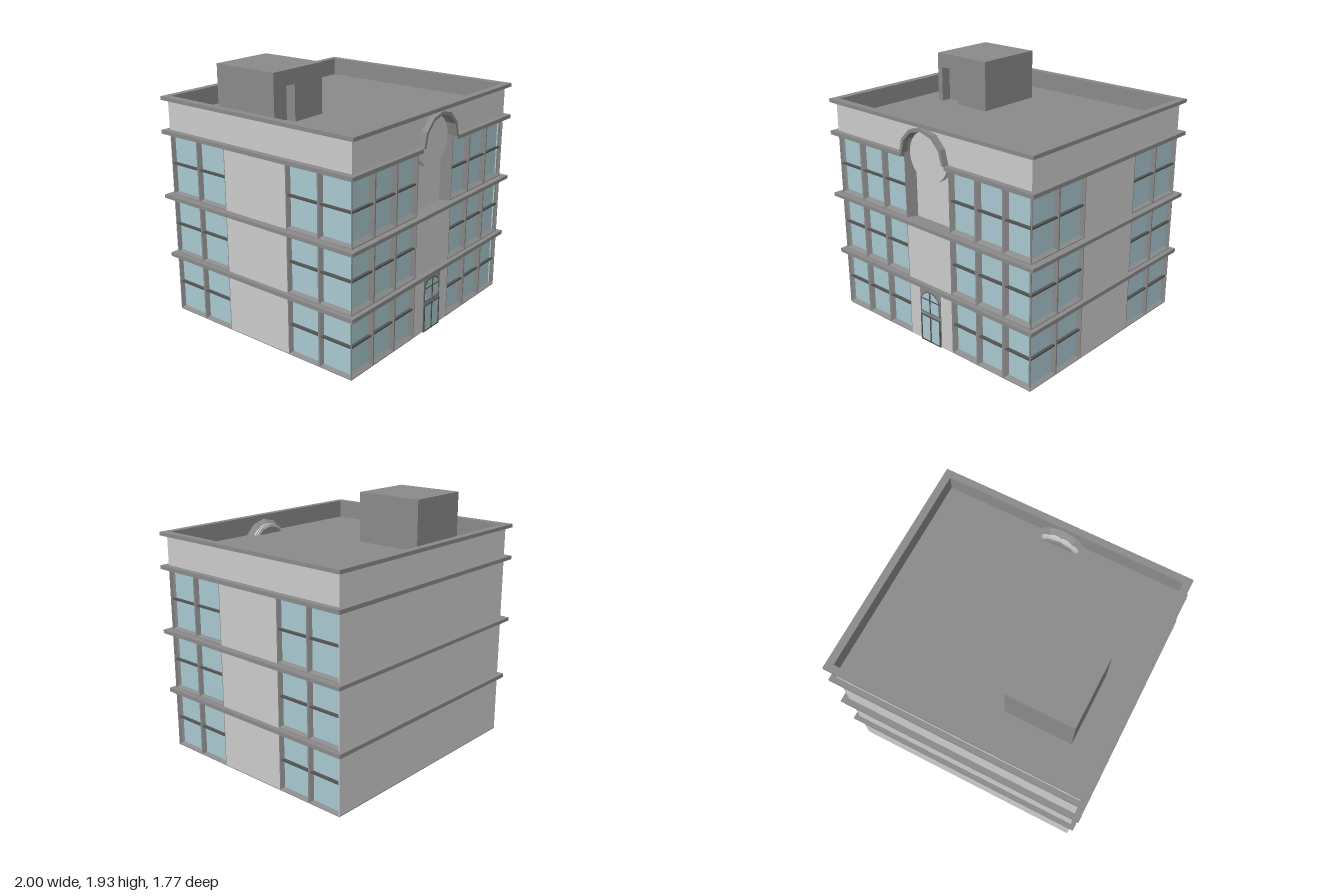
import * as THREE from 'three';

const mat = (color) => new THREE.MeshStandardMaterial({ color, flatShading: true, side: THREE.DoubleSide });
const wallMat = mat(0xcccccc), trimMat = mat(0x8a8a8a), glassMat = mat(0xa8c8cf), barMat = mat(0x555555);

function add(parent, name, geometry, material) {
  const mesh = new THREE.Mesh(geometry, material);
  mesh.name = name;
  parent.add(mesh);
  return mesh;
}

// box given by its minimum and maximum on each axis
function box(parent, name, x0, x1, y0, y1, z0, z1, material) {
  const g = new THREE.BoxGeometry(x1 - x0, y1 - y0, z1 - z0);
  g.translate((x0 + x1) / 2, (y0 + y1) / 2, (z0 + z1) / 2);
  return add(parent, name, g, material);
}

const rect = (x, z) => [[-x, -z], [x, -z], [x, z], [-x, z]];
const path = (pts) => pts.map(([x, y]) => new THREE.Vector2(x, y));

// horizontal slab from a floor plan of [x, z] points
function slab(parent, name, plan, hole, y0, y1, material) {
  const flip = (pts) => path(pts.map(([x, z]) => [x, -z]));
  const shape = new THREE.Shape(flip(plan));
  if (hole) shape.holes.push(new THREE.Path(flip(hole)));
  const g = new THREE.ExtrudeGeometry(shape, { depth: y1 - y0, bevelEnabled: false });
  g.rotateX(-Math.PI / 2).translate(0, y0, 0);
  return add(parent, name, g, material);
}

// upright plate from a front outline
function plate(parent, name, outline, z0, z1, material) {
  const g = new THREE.ExtrudeGeometry(new THREE.Shape(path(outline)), { depth: z1 - z0, bevelEnabled: false });
  return add(parent, name, g.translate(0, 0, z0), material);
}

// strip of quads joining loops of [x, y, z] points
function loft(loops) {
  const n = loops[0].length, index = [];
  for (let r = 0; r < loops.length - 1; r++)
    for (let i = 0; i < n - 1; i++) {
      const a = r * n + i, b = a + n;
      index.push(a, a + 1, b + 1, a, b + 1, b);
    }
  const g = new THREE.BufferGeometry();
  g.setAttribute('position', new THREE.Float32BufferAttribute(loops.flat(2), 3));
  g.setIndex(index);
  const flat = g.toNonIndexed();
  flat.computeVertexNormals();
  return flat;
}

// row of bevelled panes, centred on x, with its face on z = 0
function windowBay(w, y0, y1, panes, inset, topInset, barY) {
  const bay = new THREE.Group(), cell = w / panes, depth = 0.03;
  bay.name = 'windowBay';
  for (let i = 0; i < panes; i++) {
    const a = -w / 2 + i * cell, b = a + cell;
    const loop = (s, t, z) => [[a + s, y0 + s, z], [b - s, y0 + s, z], [b - s, y1 - t, z], [a + s, y1 - t, z], [a + s, y0 + s, z]];
    add(bay, 'windowFrame', loft([loop(0, 0, 0), loop(0.006, 0.006, 0), loop(inset, topInset, -depth)]), trimMat);
    const pane = new THREE.PlaneGeometry(cell - 2 * inset, y1 - y0 - inset - topInset);
    pane.translate((a + b) / 2, (y0 + inset + y1 - topInset) / 2, -depth);
    add(bay, 'windowGlass', pane, glassMat);
  }
  box(bay, 'transomBar', -w / 2 + 0.012, w / 2 - 0.012, barY - 0.007, barY + 0.007, -depth, -0.008, barMat);
  return bay;
}

// arched opening outline: straight legs and a six-sided half round
const archY = 1.44;
function arch(r, footY) {
  const pts = [[r, footY]];
  for (let i = 0; i <= 6; i++) pts.push([r * Math.cos(i * Math.PI / 6), archY + r * Math.sin(i * Math.PI / 6)]);
  pts.push([-r, footY]);
  return pts;
}

export function createModel() {
  const model = new THREE.Group();
  model.name = 'building';
  const X = 0.95, Z = 0.84, roofY = 1.55;

  // solid core, base and plain walls
  box(model, 'core', -0.9, 0.9, 0.01, 1.53, -0.8, 0.745, trimMat);
  box(model, 'base', -X, X, 0, 0.006, -Z, Z, trimMat);
  box(model, 'backWall', -X, X, 0, 1.68, -Z, -Z + 0.006, wallMat);
  box(model, 'frontCentreWall', -0.215, 0.215, 0, 0.93, 0.74, Z, wallMat);
  for (const s of [-1, 1]) box(model, 'sideWall', s < 0 ? -X : 0.89, s < 0 ? -0.89 : X, 0, 1.43, -0.283, 0.283, wallMat);

  // window bays on each floor
  const floors = [[0, 0.445, 0.235, 0.05], [0.475, 0.918, 0.71, 0.035], [0.945, 1.415, 1.185, 0.028]];
  for (const [y0, y1, barY, top] of floors)
    for (const s of [-1, 1]) {
      const front = windowBay(0.735, y0, y1, 3, 0.03, top, barY);
      front.position.set(s * 0.5825, 0, Z);
      model.add(front);
      for (const t of [-1, 1]) {
        const side = windowBay(0.557, y0, y1, 2, 0.02, 0.022, barY);
        side.rotation.y = s * Math.PI / 2;
        side.position.set(s * X, 0, t * 0.5615);
        model.add(side);
      }
    }

  // ledges; the top one breaks around the arched niche
  slab(model, 'lowerLedge', rect(0.985, 0.875), null, 0.445, 0.475, trimMat);
  slab(model, 'middleLedge', rect(1, 0.885), null, 0.918, 0.945, trimMat);
  slab(model, 'upperLedge', [[-0.995, -0.88], [0.995, -0.88], [0.995, 0.88], [0.215, 0.88], [0.215, 0.75],
    [-0.215, 0.75], [-0.215, 0.88], [-0.995, 0.88]], null, 1.413, 1.442, trimMat);

  // parapet, cornice and roof deck
  for (const s of [-1, 1]) {
    box(model, 'sideParapet', s < 0 ? -X : 0.935, s < 0 ? -0.935 : X, 1.43, 1.67, -Z, Z, wallMat);
    box(model, 'parapetLining', s < 0 ? -0.935 : 0.93, s < 0 ? -0.93 : 0.935, 1.5, 1.68, -0.83, 0.83, trimMat);
  }
  box(model, 'backParapetLining', -0.93, 0.93, 1.5, 1.68, -0.834, -0.825, trimMat);
  const notched = (w) => [[-w, 1.43], [-w, 1.67], [w, 1.67], [w, 1.43], ...arch(0.215, 1.43)];
  plate(model, 'frontParapet', notched(X), 0.828, Z, wallMat);
  plate(model, 'frontParapetLining', notched(0.935), 0.822, 0.828, trimMat);
  slab(model, 'cornice', rect(0.987, 0.877), rect(0.93, 0.823), 1.663, 1.69, trimMat);
  slab(model, 'roofDeck', [[-0.94, -0.83], [0.94, -0.83], [0.94, 0.83], [0.19, 0.83], [0.12, 0.745],
    [-0.12, 0.745], [-0.19, 0.83], [-0.94, 0.83]], null, roofY - 0.01, roofY, trimMat);

  // arched niche with tapered sides, round panel and raised frame
  const at = (r, z) => arch(r, 0.94).map(([x, y]) => [x, y, z]);
  add(model, 'nicheSides', loft([at(0.215, Z), at(0.18, 0.765)]), trimMat);
  plate(model, 'nicheBack', arch(0.181, 0.94), 0.755, 0.766, wallMat);
  const disc = new THREE.CylinderGeometry(0.185, 0.185, 0.05, 48);
  add(model, 'roundPanel', disc.rotateX(Math.PI / 2).translate(0, archY, 0.79), wallMat);
  plate(model, 'archFrame', [...arch(0.222, 1.44), ...arch(0.198, 1.44).reverse()], Z - 0.005, 0.885, trimMat);

  // back of the niche vault rising through the roof deck
  const vault = (r, z) => arch(r, archY).map(([x, y]) => [x, y, z]);
  add(model, 'nicheVault', loft([vault(0.22, 0.825), vault(0.165, 0.745)]), trimMat);
  plate(model, 'nicheVaultEnd', arch(0.165, archY - 0.01), 0.745, 0.75, trimMat);

  // entrance door
  const door = new THREE.Group();
  door.name = 'door';
  model.add(door);
  box(door, 'doorSurround', -0.105, 0.105, 0, 0.43, Z, 0.845, trimMat);
  box(door, 'doorGlass', -0.095, 0.095, 0.005, 0.21, Z, 0.847, glassMat);
  const fan = new THREE.Shape();
  fan.moveTo(-0.095, 0.24);
  fan.lineTo(0.095, 0.24);
  fan.lineTo(0.095, 0.335);
  fan.absellipse(0, 0.335, 0.095, 0.077, 0, Math.PI, false);
  fan.closePath();
  const pts = fan.getPoints(12).map((p) => [p.x, p.y]);
  plate(door, 'fanlightEdge', pts, Z, 0.8465, barMat);
  plate(door, 'fanlight', pts.map(([x, y]) => [x * 0.92, 0.325 + (y - 0.325) * 0.93]), Z, 0.848, glassMat);
  const bar = (x0, x1, y0, y1) => box(door, 'doorBar', x0, x1, y0, y1, Z, 0.852, barMat);
  bar(-0.005, 0.005, 0, 0.21);
  bar(-0.005, 0.005, 0.24, 0.41);
  bar(-0.095, 0.095, 0.345, 0.353);
  bar(-0.095, 0.095, 0.207, 0.215);
  bar(-0.095, 0.095, 0, 0.008);
  for (const s of [-1, 1]) bar(s * 0.095 - 0.005, s * 0.095 + 0.005, 0, 0.215);

  // rooftop stair house with a doorway
  box(model, 'stairHouse', -0.735, -0.228, roofY, 1.93, -0.545, -0.08, trimMat);
  plate(model, 'stairHouseFront', [[-0.735, roofY], [-0.692, roofY], [-0.692, 1.82], [-0.522, 1.82],
    [-0.522, roofY], [-0.228, roofY], [-0.228, 1.93], [-0.735, 1.93]], -0.08, 0, trimMat);

  return model;
}
